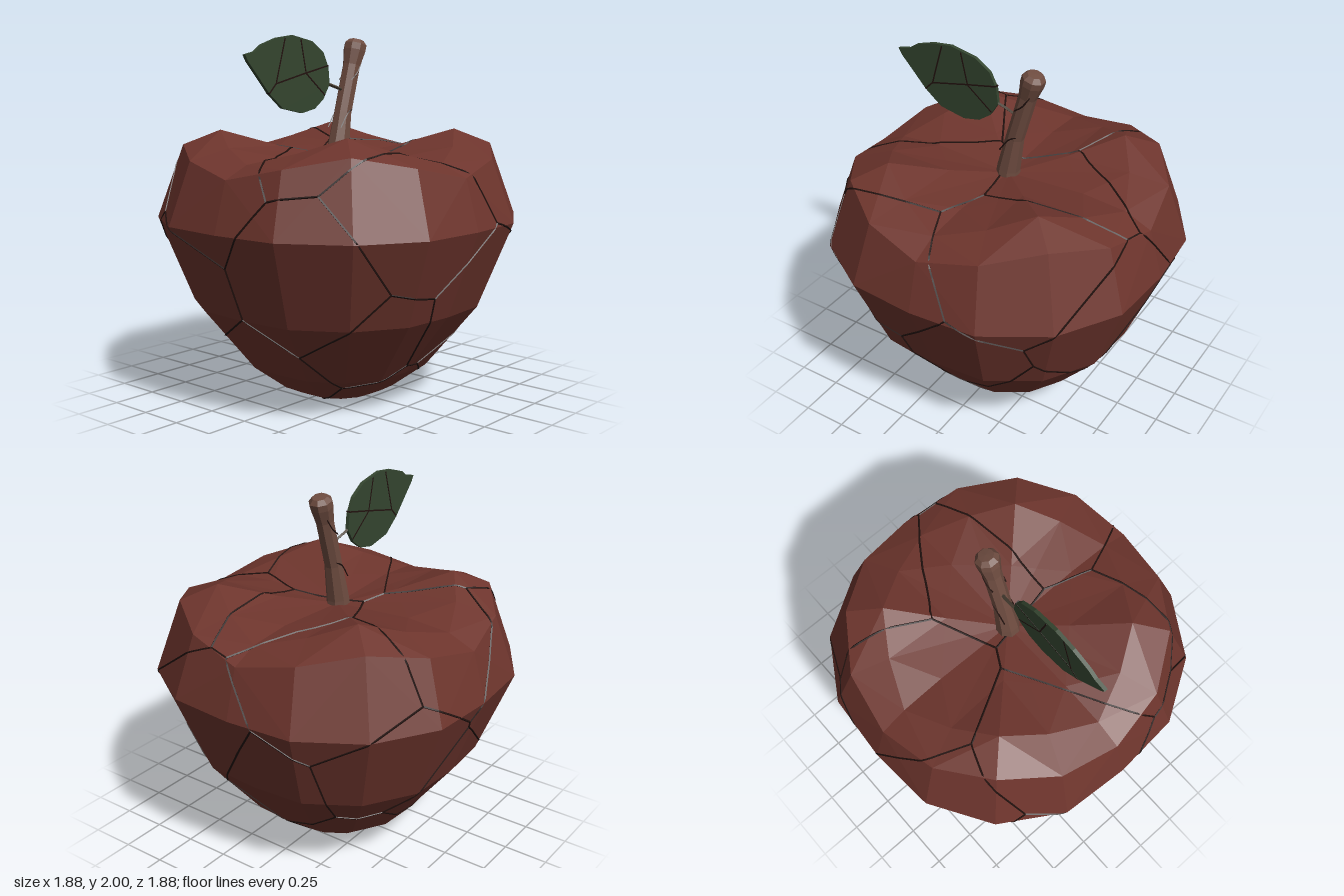
import * as THREE from 'three';
import { ConvexGeometry } from 'three/addons/geometries/ConvexGeometry.js';

const mat = (color) => new THREE.MeshStandardMaterial({ color, flatShading: true });
const v = (x, y, z) => new THREE.Vector3(x, y, z);

// Faceted skin through rings of points (bottom to top), closed at both ends by a pole
function skin(rings, bottom, top) {
  const n = rings[0].length, pos = [], idx = [];
  [...rings.flat(), bottom, top].forEach((p) => pos.push(p.x, p.y, p.z));
  const b = rings.length * n, t = b + 1;
  for (let k = 0; k < n; k++) {
    const q = (k + 1) % n;
    idx.push(b, k, q);
    for (let i = 0; i < rings.length - 1; i++) {
      const a = i * n + k, c = i * n + q, d = a + n, e = c + n;
      // Mirror the diagonal on every second side
      if (k % 2) idx.push(a, d, e, a, e, c);
      else idx.push(a, d, c, c, d, e);
    }
    const o = (rings.length - 1) * n;
    idx.push(t, o + q, o + k);
  }
  const g = new THREE.BufferGeometry();
  g.setAttribute('position', new THREE.Float32BufferAttribute(pos, 3));
  g.setIndex(idx);
  g.computeVertexNormals();
  return g;
}

// Fruit: 16 sides, slightly square, with four raised lobes on the diagonals
function bodyGeometry() {
  const square = [1, 1.05, 1.065, 1.05];
  const lower = [[0.23, 0.015], [0.31, 0.05], [0.49, 0.19], [0.76, 0.54], [0.94, 1.01]];
  // radius and height on the axis, at 22.5 degrees and on the diagonal
  const upper = [
    [[0.86, 1.28], [0.865, 1.35], [0.855, 1.41]],
    [[0.71, 1.345], [0.65, 1.41], [0.65, 1.49]],
    [[0.46, 1.365], [0.352, 1.38], [0.325, 1.4]],
  ];
  const ring = (f) => Array.from({ length: 16 }, (_, k) => {
    const [r, y] = f(k % 4), a = (k * Math.PI) / 8;
    return v(r * Math.cos(a), y, r * Math.sin(a));
  });
  const rings = [
    ...lower.map(([r, y]) => ring((s) => [r * square[s], y])),
    ...upper.map((u) => ring((s) => u[s === 3 ? 1 : s])),
  ];
  return skin(rings, v(0, 0, 0), v(0, 1.34, 0));
}

// Bent eight-sided stem with a flared, chamfered tip
function stemGeometry() {
  const sections = [[-0.005, 1.33, 0.068], [0, 1.38, 0.064], [0.04, 1.58, 0.05],
    [0.115, 1.84, 0.05], [0.14, 1.92, 0.064], [0.15, 1.955, 0.064], [0.157, 1.978, 0.042]];
  const tilt = 0.27;
  const rings = sections.map(([x, y, r]) => Array.from({ length: 8 }, (_, k) => {
    const a = ((k + 0.5) * Math.PI) / 4, c = r * Math.cos(a);
    return v(x + c * Math.cos(tilt), y - c * Math.sin(tilt), r * Math.sin(a));
  }));
  return skin(rings, v(-0.005, 1.33, 0), v(0.158, 1.98, 0));
}

const tube = (pts, r) => new THREE.TubeGeometry(
  new THREE.CatmullRomCurve3(pts, false, 'centripetal'), pts.length * 2, r, 4);

// Irregular cell borders on a sphere: pairs of directions, one pair per border
function cellBorders(count) {
  const hash = (i) => { const s = Math.sin(i * 12.9898) * 43758.5453; return s - Math.floor(s) - 0.5; };
  const seeds = Array.from({ length: count }, (_, i) => {
    const y = 1 - (2 * (i + 0.5)) / count, a = i * 2.39996, r = Math.sqrt(1 - y * y);
    return v(r * Math.cos(a) + 0.4 * hash(i + 1), y + 0.4 * hash(i + 40),
      r * Math.sin(a) + 0.4 * hash(i + 80)).normalize();
  });
  const p = new ConvexGeometry(seeds).getAttribute('position');
  const open = new Map(), borders = [];
  for (let i = 0; i < p.count; i += 3) {
    const c = [0, 1, 2].map((j) => v().fromBufferAttribute(p, i + j));
    const corner = new THREE.Triangle(...c).getNormal(v());
    c.forEach((a, j) => {
      const key = [a, c[(j + 1) % 3]].map((w) => w.toArray().join()).sort().join('|');
      if (open.has(key)) borders.push([open.get(key), corner]);
      else open.set(key, corner);
    });
  }
  return borders;
}

// Lay a border on the body by casting inwards to its core
function layOnBody(body, [from, to]) {
  const core = v(0, 0.8, 0), ray = new THREE.Raycaster(), pts = [];
  const steps = Math.max(2, Math.ceil(from.angleTo(to) / 0.05));
  for (let s = 0; s <= steps; s++) {
    const dir = from.clone().lerp(to, s / steps).normalize();
    ray.set(core.clone().addScaledVector(dir, 3), dir.negate());
    const hit = ray.intersectObject(body)[0];
    if (hit) pts.push(hit.point);
  }
  return pts;
}

export function createModel() {
  const model = new THREE.Group();
  const crackMat = mat(0x22120f);
  const add = (name, geometry, material, parent = model) => {
    const m = new THREE.Mesh(geometry, material);
    m.name = name;
    parent.add(m);
    return m;
  };

  const body = add('fruitBody', bodyGeometry(), mat(0x6e352d));
  add('stem', stemGeometry(), mat(0x6e4c40));

  // Thin dark seams dividing the fruit into pieces
  const cracks = new THREE.Group();
  cracks.name = 'fruitCracks';
  model.add(cracks);
  for (const border of cellBorders(20)) {
    const pts = layOnBody(body, border);
    if (pts.length > 1) add('crack', tube(pts, 0.006), crackMat, cracks);
  }

  // Seams on the stem, front and back
  for (const s of [1, -1]) {
    add('stemCrack', tube([v(-0.03, 1.5, 0.046 * s), v(0.03, 1.58, 0.048 * s), v(0.07, 1.6, 0.043 * s)], 0.004), crackMat);
    add('stemCrack', tube([v(0.06, 1.76, 0.044 * s), v(0.11, 1.8, 0.048 * s), v(0.15, 1.86, 0.042 * s)], 0.004), crackMat);
  }

  // Flat leaf beside the stem
  const outline = [[-0.71, 1.9], [-0.64, 1.915], [-0.59, 1.95], [-0.48, 1.985], [-0.36, 2], [-0.21, 1.97],
    [-0.12, 1.91], [-0.08, 1.83], [-0.07, 1.74], [-0.12, 1.66], [-0.19, 1.61], [-0.29, 1.59],
    [-0.44, 1.62], [-0.54, 1.7], [-0.63, 1.8], [-0.69, 1.865]];
  const leaf = new THREE.ExtrudeGeometry(
    new THREE.Shape(outline.map(([x, y]) => new THREE.Vector2(x, y))), { depth: 0.02, bevelEnabled: false });
  add('leaf', leaf.translate(0, 0, -0.02), mat(0x34452f));
  add('leafStalk', tube([v(-0.09, 1.745, -0.01), v(-0.02, 1.725, -0.01), v(0.06, 1.7, 0)], 0.009), mat(0x4a4034));

  // Straight seams running through the leaf
  const seams = [[-0.54, 1.7, -0.49, 1.75], [-0.49, 1.75, -0.27, 1.8], [-0.27, 1.8, -0.08, 1.84],
    [-0.49, 1.75, -0.42, 1.985], [-0.26, 1.8, -0.3, 1.98], [-0.26, 1.8, -0.11, 1.68]];
  for (const [x0, y0, x1, y1] of seams) {
    const m = add('leafCrack', new THREE.BoxGeometry(Math.hypot(x1 - x0, y1 - y0), 0.008, 0.023), crackMat);
    m.position.set((x0 + x1) / 2, (y0 + y1) / 2, -0.01);
    m.rotation.z = Math.atan2(y1 - y0, x1 - x0);
  }
  return model;
}
